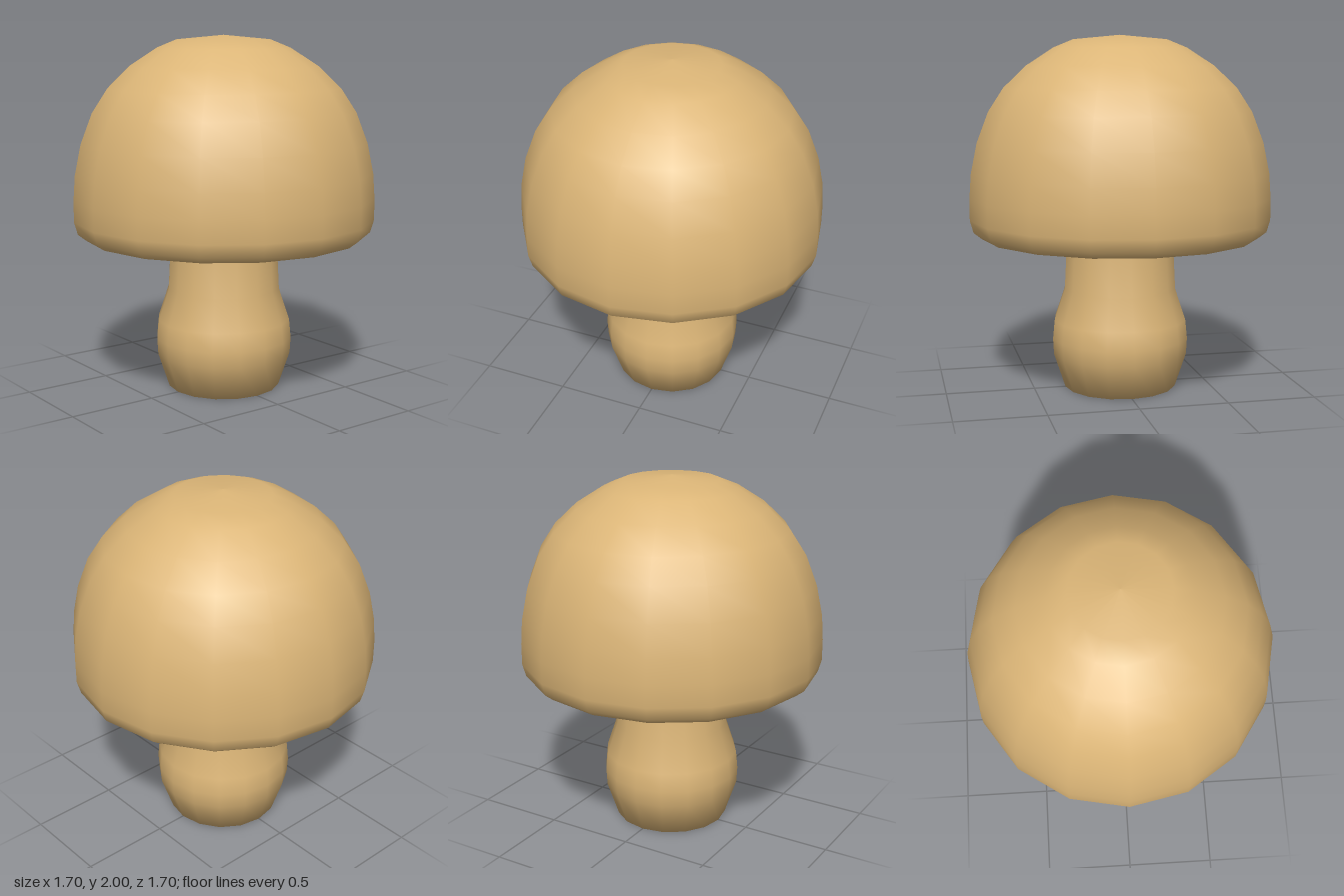
import * as THREE from 'three';

const SIDES = 16;

// Smooth body of revolution from [radius, height] pairs, listed bottom to top
function turned(name, profile, material) {
  const points = profile.map(([r, y]) => new THREE.Vector2(r, y));
  const mesh = new THREE.Mesh(new THREE.LatheGeometry(points, SIDES), material);
  mesh.name = name;
  return mesh;
}

export function createModel() {
  const group = new THREE.Group();
  group.name = 'mushroom';

  const tan = new THREE.MeshStandardMaterial({ color: 0xdbb577 });
  tan.name = 'tan';

  // Stem: flat foot, round bulge, narrow neck reaching up into the cap
  group.add(turned('stem', [
    [0, 0], [0.32, 0], [0.385, 0.195], [0.39, 0.285], [0.38, 0.39],
    [0.32, 0.57], [0.305, 0.87], [0.295, 1.1],
  ], tan));

  // Cap: hollow underside, rounded rim, dome
  group.add(turned('cap', [
    [0.29, 1.09], [0.785, 0.875], [0.83, 0.91], [0.85, 0.98], [0.85, 1.1],
    [0.84, 1.24], [0.805, 1.41], [0.74, 1.58], [0.655, 1.71],
    [0.53, 1.83], [0.375, 1.93], [0.265, 1.975], [0, 2],
  ], tan));

  return group;
}
